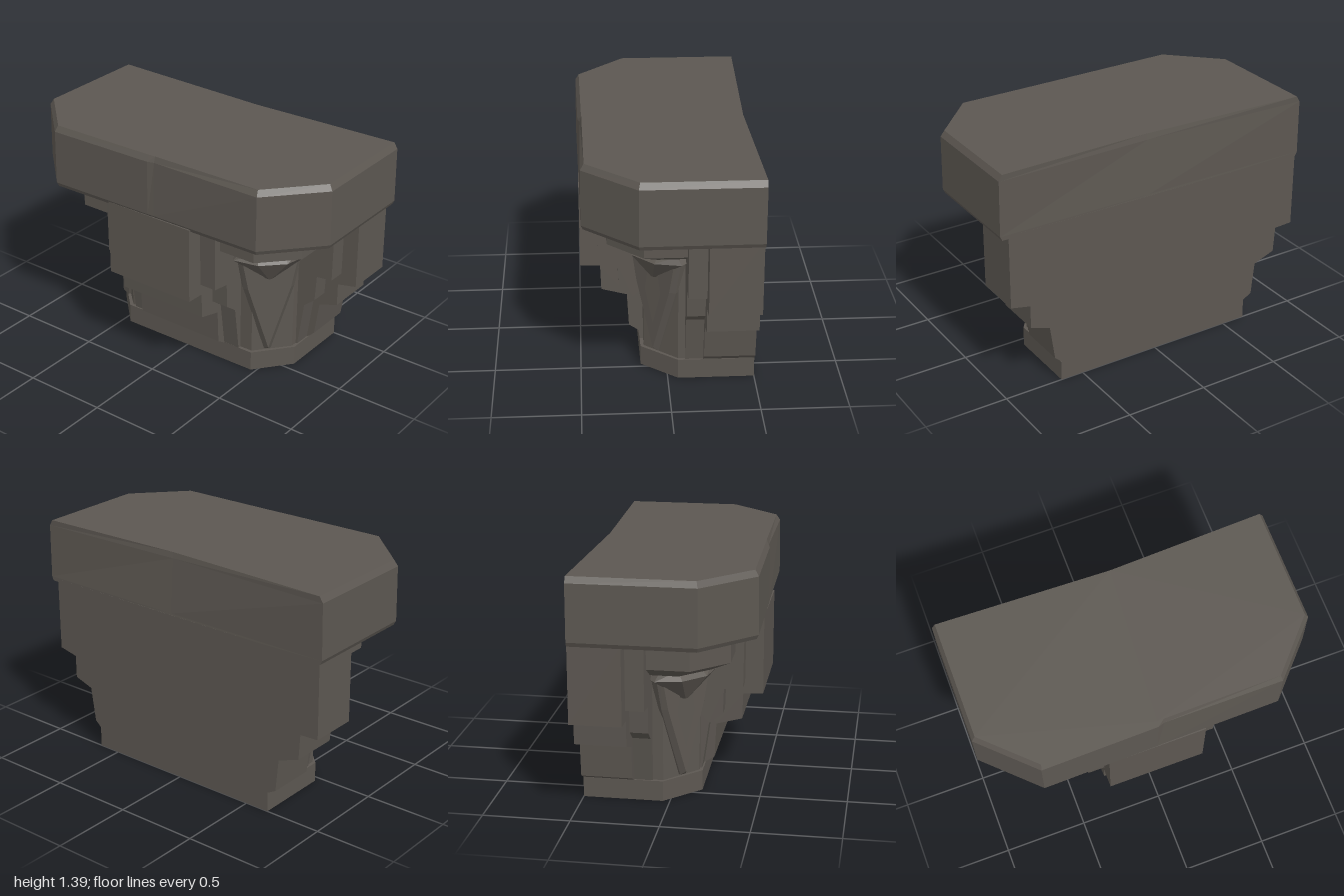
import * as THREE from 'three';

const stone = new THREE.MeshStandardMaterial({ color: 0x5c5751 });
stone.name = 'dark stone';

function mesh(name, geometry) {
  const g = geometry.index ? geometry.toNonIndexed() : geometry;
  g.computeVertexNormals(); // non-indexed, so every facet stays crisp
  const m = new THREE.Mesh(g, stone);
  m.name = name;
  return m;
}

// Solid through stacked rings: [{ y, pts: [[x, z], ...] }, ...] from bottom to top
function loft(name, rings) {
  const flat = p => p.map(([x, z]) => new THREE.Vector2(x, -z));
  const flip = THREE.ShapeUtils.isClockWise(flat(rings[0].pts));
  const R = rings.map(r => ({ y: r.y, pts: flip ? [...r.pts].reverse() : r.pts }));
  const n = R[0].pts.length, pos = [];
  const put = (r, i) => pos.push(r.pts[i][0], r.y, r.pts[i][1]);
  for (let k = 0; k < R.length - 1; k++) {
    const a = R[k], b = R[k + 1];
    for (let i = 0; i < n; i++) {
      const j = (i + 1) % n;
      put(a, i); put(a, j); put(b, j);
      put(a, i); put(b, j); put(b, i);
    }
  }
  const top = R[R.length - 1];
  for (const [i, j, k] of THREE.ShapeUtils.triangulateShape(flat(top.pts), [])) {
    put(top, i); put(top, j); put(top, k);
  }
  for (const [i, j, k] of THREE.ShapeUtils.triangulateShape(flat(R[0].pts), [])) {
    put(R[0], i); put(R[0], k); put(R[0], j);
  }
  const g = new THREE.BufferGeometry();
  g.setAttribute('position', new THREE.Float32BufferAttribute(pos, 3));
  return mesh(name, g);
}

function prism(points, depth) {
  const shape = new THREE.Shape(points.map(([x, y]) => new THREE.Vector2(x, y)));
  return new THREE.ExtrudeGeometry(shape, { depth, bevelEnabled: false });
}

// Stepped block facing forward: profile of [z, y], spanning x0..x1
function frontBand(name, profile, x0, x1) {
  const g = prism([...profile, [-0.4, 0.1], [-0.4, 1.02]], x1 - x0);
  g.rotateY(-Math.PI / 2);
  g.translate(x1, 0, 0);
  return mesh(name, g);
}

// Stepped block running across the back, with a profile of [x, y] on either side
function sideBand(name, right, left, z1) {
  const g = prism([...right, ...left.map(([x, y]) => [-x, y]).reverse()], z1 + 0.5);
  g.translate(0, 0, -0.5);
  return mesh(name, g);
}

// Pointed leaf with a narrow sunken panel, in its own upright plane
function leaf(name) {
  const shape = new THREE.Shape([[0.2, 0.82], [0.15, 0.55], [0.02, 0.13], [-0.02, 0.13],
    [-0.15, 0.55], [-0.2, 0.82]].map(p => new THREE.Vector2(...p)));
  shape.holes.push(new THREE.Path([[0.05, 0.72], [0.085, 0.52], [0, 0.28],
    [-0.085, 0.52], [-0.05, 0.72]].map(p => new THREE.Vector2(...p))));
  const g = new THREE.ExtrudeGeometry(shape, {
    depth: 0.05, bevelThickness: 0.03, bevelSize: 0.025, bevelOffset: -0.025, bevelSegments: 1
  });
  return mesh(name, g);
}

// Faceted drop hanging above the leaf
function drop(name) {
  const ring = (y, w, d) => ({
    y, pts: [[-w, 0], [-w * 0.4, d], [w * 0.4, d], [w, 0], [w, -0.12], [-w, -0.12]]
  });
  return loft(name, [ring(0.62, 0.02, 0.01), ring(0.755, 0.215, 0.085), ring(0.8, 0.18, 0.03)]);
}

export function createModel() {
  const group = new THREE.Group();
  group.name = 'stone corbel';

  // Top slab with clipped front corners, worn upper edge and slightly hollow back
  const slab = (i, back, chip) => [
    [-1 + i, -0.5], [0.05, back], [1 - i, -0.5], [1 - i, 0.175 - i * 0.4], [0.72 - i * 0.4, 0.48 - i],
    [0.02, 0.488 - i - chip], [-0.02, 0.49 - i], [-0.7 + i * 0.4, 0.5 - i], [-1 + i, 0.21 - i * 0.4]
  ];
  group.add(loft('topSlab', [
    { y: 1.005, pts: slab(0.012, -0.5, 0) },
    { y: 1.03, pts: slab(0, -0.498, 0) },
    { y: 1.355, pts: slab(0.004, -0.474, 0.01) },
    { y: 1.39, pts: slab(0.025, -0.468, 0) }
  ]));

  // Foot and the core rising from it
  const foot = (i) => [
    [-0.65 + i, -0.5], [0.64 - i, -0.5], [0.64 - i, -0.06], [0.47 - i * 0.5, 0.15 - i],
    [-0.45 + i * 0.5, 0.16 - i], [-0.65 + i, -0.04]
  ];
  group.add(loft('foot', [{ y: 0, pts: foot(0) }, { y: 0.12, pts: foot(0) }]));
  group.add(loft('core', [{ y: 0.11, pts: foot(0.02) }, { y: 0.9, pts: foot(0.015) }]));

  // Stepped faces: the proud centre and the set-back strips beside it
  group.add(frontBand('frontSteps', [[0.49, 1.02], [0.49, 0.56], [0.375, 0.555], [0.37, 0.4],
    [0.22, 0.36], [0.21, 0.155], [0.15, 0.115]], -0.31, 0.275));
  group.add(frontBand('frontStrips', [[0.39, 1.02], [0.385, 0.625], [0.275, 0.61], [0.27, 0.46],
    [0.19, 0.4], [0.15, 0.115]], -0.41, 0.38));
  group.add(sideBand('sideSteps',
    [[0.95, 1.02], [0.95, 0.575], [0.83, 0.55], [0.83, 0.41], [0.71, 0.37], [0.68, 0.16], [0.63, 0.115]],
    [[0.985, 1.02], [0.985, 0.56], [0.87, 0.555], [0.86, 0.4], [0.725, 0.35], [0.705, 0.15], [0.64, 0.115]],
    -0.205));
  group.add(sideBand('sideStrips',
    [[0.855, 1.02], [0.85, 0.63], [0.75, 0.62], [0.74, 0.46], [0.67, 0.4], [0.63, 0.115]],
    [[0.89, 1.02], [0.885, 0.62], [0.775, 0.61], [0.765, 0.45], [0.69, 0.39], [0.64, 0.115]],
    -0.1));

  // Carved corners: cap, drop and leaf on each clipped corner
  for (const s of [1, -1]) {
    const side = s > 0 ? 'left' : 'right';
    const dx = s > 0 ? 0 : 0.02, dy = s > 0 ? 0 : -0.02;
    const at = pts => pts.map(([x, z]) => [s * (x + dx), z]);
    const full = at([[0.375, 0.34], [0.61, 0.34], [0.8, 0.14], [0.8, -0.1], [0.375, -0.1]]);
    const low = at([[0.375, 0.22], [0.53, 0.22], [0.68, 0.06], [0.68, -0.1], [0.375, -0.1]]);
    group.add(loft(side + 'CornerCap', [
      { y: 0.79 + dy, pts: low }, { y: 0.86 + dy, pts: full }, { y: 1.02, pts: full }
    ]));

    const carving = new THREE.Group();
    carving.name = side + 'CornerCarving';
    carving.position.set(s * (0.54 + dx), 0, 0.075);
    carving.rotation.y = s * Math.PI / 4;
    const d = drop(side + 'Drop');
    d.position.set(0, dy, 0.005);
    const l = leaf(side + 'Leaf');
    l.position.z = -0.07;
    carving.add(d, l);
    group.add(carving);
  }
  return group;
}
